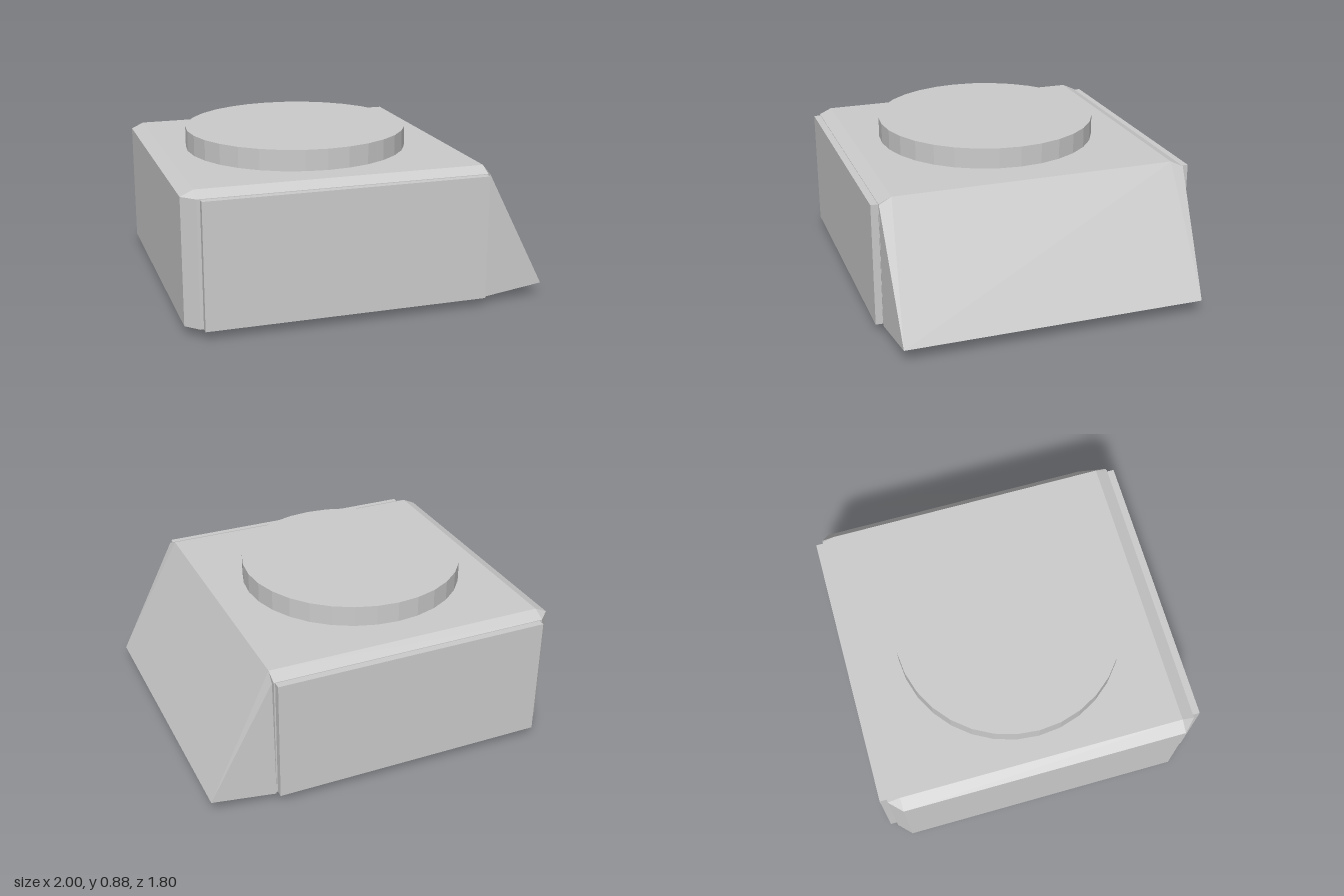
import * as THREE from 'three';
import { ConvexGeometry } from 'three/addons/geometries/ConvexGeometry.js';

const material = new THREE.MeshStandardMaterial({ color: 0xcccccc, flatShading: true });

function addPart(group, name, geometry, x = 0, y = 0, z = 0) {
  const mesh = new THREE.Mesh(geometry, material);
  mesh.name = name;
  mesh.position.set(x, y, z);
  group.add(mesh);
}

// Convex solid from corners [x, y, halfDepth], each mirrored front to back
function mirroredSolid(corners) {
  const points = [];
  for (const [x, y, d] of corners) {
    for (const side of [1, -1]) points.push(new THREE.Vector3(x, y, side * d));
  }
  return new ConvexGeometry(points);
}

export function createModel() {
  const model = new THREE.Group();
  model.name = 'bevelledBlock';

  // Main body: bevelled top, bottom and left corners, square right end
  addPart(model, 'body', mirroredSolid([
    [-0.93, 0.77, 0.79], [0.64, 0.77, 0.79],
    [-1, 0.738, 0.79], [-0.93, 0.738, 0.86], [0.64, 0.738, 0.86],
    [-1, 0.05, 0.79], [-0.93, 0.05, 0.86], [0.64, 0.05, 0.86],
    [-0.93, 0.02, 0.79], [0.64, 0.02, 0.79],
  ]));

  // Sloping wedge on the right end, its bevel tapering out at the foot
  addPart(model, 'wedge', mirroredSolid([
    [0.64, 0.77, 0.79], [0.65, 0.738, 0.86], [0.64, 0.04, 0.86],
    [0.995, 0.077, 0.84],
  ]));

  // Low lip under the wedge
  addPart(model, 'bottomLip', mirroredSolid([
    [0.62, 0.05, 0.86], [0.75, 0.05, 0.85],
    [0.64, 0.02, 0.79], [0.66, 0, 0.79], [0.74, 0.035, 0.8],
  ]));

  // Raised panels on the front and back
  for (const [name, side] of [['frontPanel', 1], ['backPanel', -1]]) {
    addPart(model, name, new THREE.BoxGeometry(1.545, 0.685, 0.06), -0.14, 0.3925, side * 0.87);
  }

  // Round disc on top
  addPart(model, 'topDisc', new THREE.CylinderGeometry(0.625, 0.625, 0.125, 32), -0.18, 0.8225, 0.015);

  return model;
}
